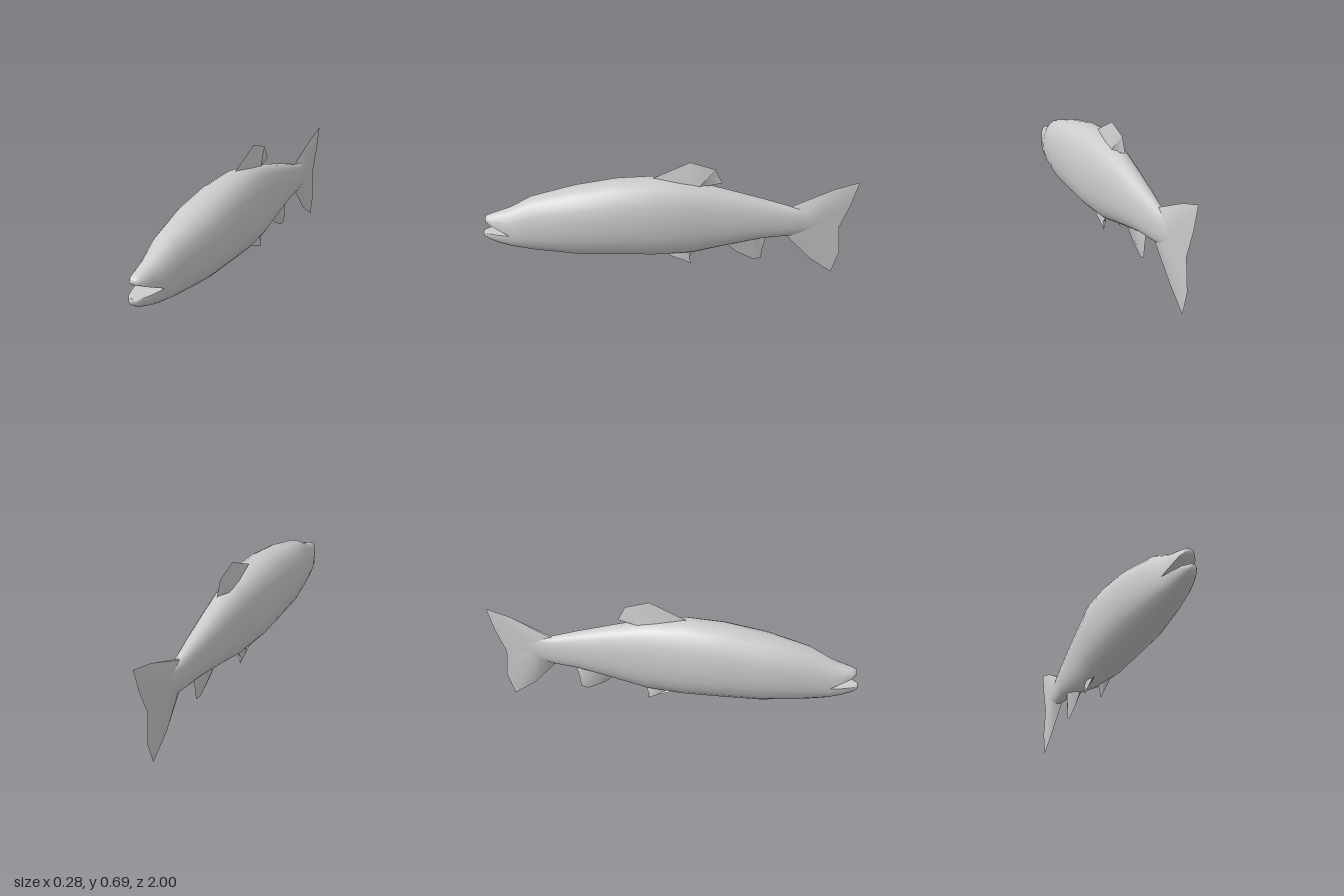
import * as THREE from 'three';
import { mergeGeometries, toCreasedNormals } from 'three/addons/utils/BufferGeometryUtils.js';

const SIDES = 24;
const material = new THREE.MeshStandardMaterial({ color: 0xcccccc });
const finMaterial = new THREE.MeshStandardMaterial({ color: 0xcccccc, side: THREE.DoubleSide });

function grid(positions, index) {
  const g = new THREE.BufferGeometry();
  g.setAttribute('position', new THREE.Float32BufferAttribute(positions, 3));
  g.setIndex(index);
  return g;
}

// Soft creases, worked out at a larger scale so that small details stay separate
function smooth(geometry, angle) {
  return toCreasedNormals(geometry.scale(50, 50, 50), angle).scale(0.02, 0.02, 0.02);
}

// Skin over rounded sections [z, bottom, middle, top, half width], front to back
function loft(sections) {
  const pos = [], index = [];
  const round = v => Math.sign(v) * Math.abs(v) ** 0.88;
  sections.forEach(([z, bottom, mid, top, w], i) => {
    for (let j = 0; j < SIDES; j++) {
      const a = (j / SIDES) * Math.PI * 2;
      const s = round(Math.sin(a));
      pos.push(w * round(Math.cos(a)), mid + s * (s > 0 ? top - mid : mid - bottom), z);
      if (i === sections.length - 1) continue;
      const p = i * SIDES + j, q = i * SIDES + (j + 1) % SIDES;
      index.push(p, p + SIDES, q, q, p + SIDES, q + SIDES);
    }
  });
  return grid(pos, index);
}

// Wedge-shaped fin from rows [root z, root y, root half width, tip z, tip y]
function fin(name, rows, rootX = 0, tipX = 0) {
  const pos = [], index = [];
  rows.forEach(([rz, ry, w, tz, ty], i) => {
    pos.push(rootX + w, ry, rz, tipX, ty, tz, rootX - w, ry, rz);
    if (i === rows.length - 1) return;
    const a = i * 3, b = a + 3;
    index.push(a, b, a + 1, a + 1, b, b + 1);
    index.push(a + 1, b + 1, a + 2, a + 2, b + 1, b + 2);
  });
  // Turn the faces outward where the fin hangs below the body
  if (rows[1][4] < rows[1][1]) index.reverse();
  const mesh = new THREE.Mesh(smooth(grid(pos, index), 0.7), finMaterial);
  mesh.name = name;
  return mesh;
}

export function createModel() {
  const fish = new THREE.Group();
  fish.name = 'fish';

  // Trunk, from the corner of the mouth to inside the tail
  const trunk = loft([
    [0.85, 0.21, 0.30, 0.43, 0.072],
    [0.73, 0.19, 0.33, 0.492, 0.1],
    [0.5, 0.165, 0.36, 0.55, 0.137],
    [0.28, 0.158, 0.37, 0.588, 0.141],
    [0.08, 0.152, 0.37, 0.598, 0.139],
    [-0.12, 0.155, 0.37, 0.57, 0.108],
    [-0.3, 0.195, 0.36, 0.523, 0.085],
    [-0.5, 0.235, 0.345, 0.465, 0.06],
    [-0.65, 0.245, 0.335, 0.418, 0.038],
    [-0.77, 0.27, 0.335, 0.4, 0.022],
    [-0.92, 0.325, 0.335, 0.345, 0],
  ]);
  // Upper jaw with a flat palate
  const upperJaw = loft([
    [0.982, 0.372, 0.372, 0.372, 0],
    [0.978, 0.358, 0.366, 0.385, 0.022],
    [0.955, 0.349, 0.35, 0.395, 0.04],
    [0.91, 0.328, 0.328, 0.41, 0.055],
    [0.85, 0.30, 0.30, 0.43, 0.072],
  ]);
  // Lower jaw with a flat floor
  const lowerJaw = loft([
    [1, 0.288, 0.288, 0.288, 0],
    [0.995, 0.268, 0.285, 0.3, 0.018],
    [0.97, 0.25, 0.296, 0.3, 0.036],
    [0.92, 0.23, 0.297, 0.297, 0.054],
    [0.85, 0.21, 0.30, 0.30, 0.072],
  ]);
  const body = new THREE.Mesh(smooth(mergeGeometries([trunk, upperJaw, lowerJaw]), 1), material);
  body.name = 'body';
  fish.add(body);

  fish.add(fin('dorsalFin', [
    [0.1, 0.59, 0, 0.08, 0.601],
    [-0.08, 0.565, 0.024, -0.105, 0.686],
    [-0.15, 0.55, 0.024, -0.235, 0.645],
    [-0.18, 0.545, 0, -0.275, 0.565],
  ]));

  fish.add(fin('tailFin', [
    [-0.62, 0.4, 0.01, -0.65, 0.42],
    [-0.7, 0.38, 0.022, -0.87, 0.52],
    [-0.74, 0.36, 0.022, -1, 0.56],
    [-0.76, 0.345, 0.022, -0.97, 0.43],
    [-0.76, 0.325, 0.022, -0.92, 0.29],
    [-0.76, 0.305, 0.022, -0.94, 0.13],
    [-0.74, 0.29, 0.022, -0.905, 0],
    [-0.7, 0.27, 0.022, -0.78, 0.09],
    [-0.62, 0.26, 0.01, -0.65, 0.245],
  ]));

  fish.add(fin('analFin', [
    [-0.29, 0.21, 0, -0.31, 0.195],
    [-0.34, 0.22, 0.022, -0.37, 0.14],
    [-0.4, 0.23, 0.028, -0.465, 0.09],
    [-0.44, 0.235, 0.028, -0.505, 0.1],
    [-0.47, 0.24, 0.022, -0.51, 0.16],
    [-0.51, 0.25, 0, -0.525, 0.238],
  ]));

  // Pair of small belly fins
  for (const side of [1, -1]) {
    fish.add(fin(side > 0 ? 'leftPelvicFin' : 'rightPelvicFin', [
      [0.02, 0.175, 0, 0, 0.153],
      [-0.04, 0.17, 0.012, -0.065, 0.125],
      [-0.09, 0.17, 0.014, -0.115, 0.1],
      [-0.1, 0.17, 0.012, -0.105, 0.13],
      [-0.12, 0.175, 0, -0.115, 0.155],
    ], side * 0.035, side * 0.048));
  }
  return fish;
}
